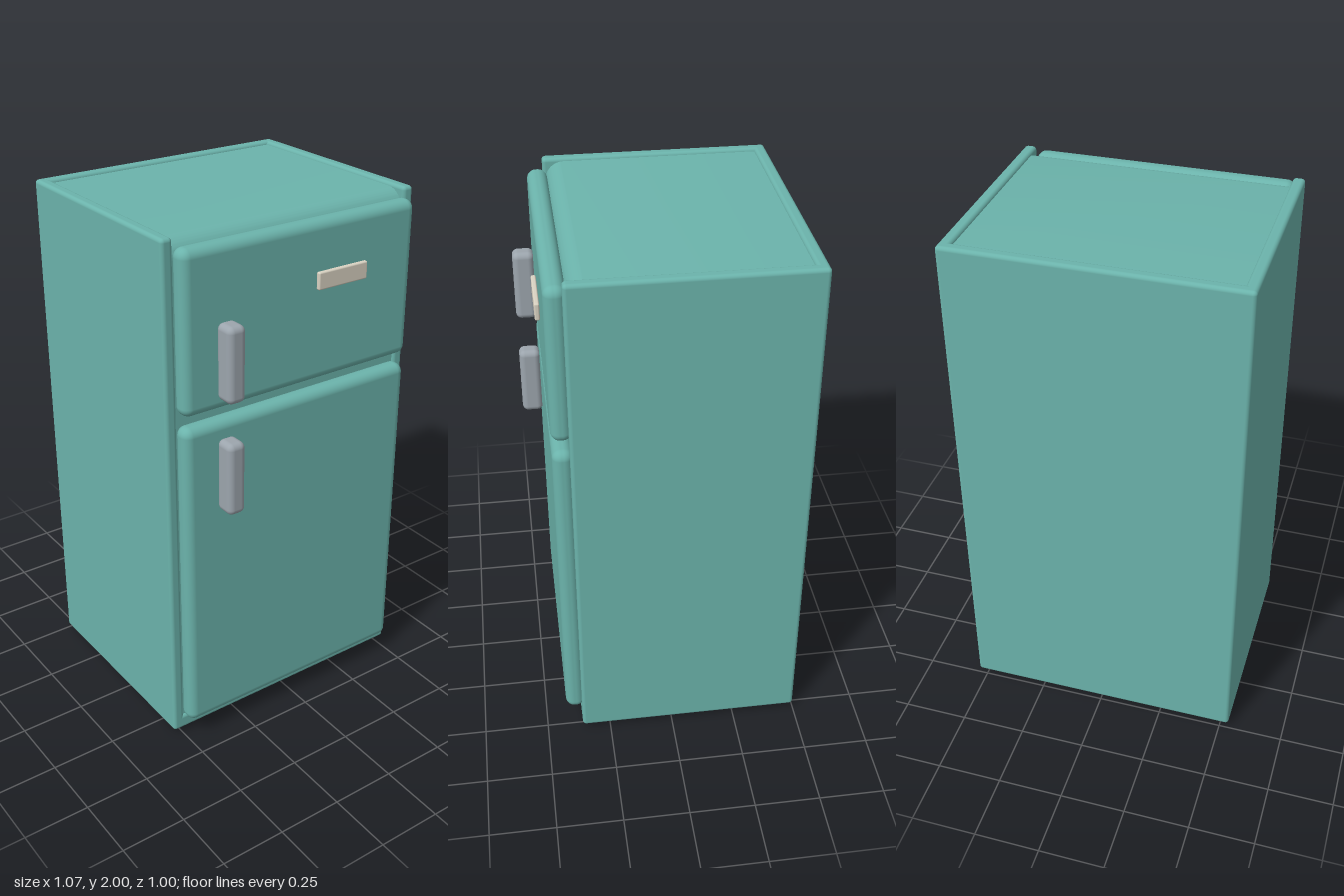
import * as THREE from 'three';
import { RoundedBoxGeometry } from 'three/addons/geometries/RoundedBoxGeometry.js';
import { toCreasedNormals } from 'three/addons/utils/BufferGeometryUtils.js';

const material = (color) => new THREE.MeshStandardMaterial({ color });

export function createModel() {
  const model = new THREE.Group();
  const teal = material(0x6bb3ab);
  const steel = material(0x9ca5ad);
  const cream = material(0xd9d2c2);
  const rubber = material(0x2b2b2e);

  const add = (name, geometry, mat, parent = model) => {
    const mesh = new THREE.Mesh(geometry, mat);
    mesh.name = name;
    parent.add(mesh);
    return mesh;
  };

  // Rounded box given by its extents on each axis
  const block = (name, [x0, x1], [y0, y1], [z0, z1], radius, mat, parent) => {
    const geometry = new RoundedBoxGeometry(x1 - x0, y1 - y0, z1 - z0, 5, radius);
    geometry.translate((x0 + x1) / 2, (y0 + y1) / 2, (z0 + z1) / 2);
    return add(name, geometry, mat, parent);
  };

  // Outer shell: two sides, back and floor with softened edges
  const shell = new THREE.Group();
  shell.name = 'cabinetShell';
  model.add(shell);
  const W = 0.535, wall = 0.045, low = 0.018, back = -0.5, front = 0.36, r = 0.014;
  block('leftSide', [W - wall, W], [low, 2], [back, front], r, teal, shell);
  block('rightSide', [-W, -W + wall], [low, 2], [back, front], r, teal, shell);
  block('backPanel', [-W, W], [low, 2], [back, back + wall], r, teal, shell);
  block('floorPanel', [-W, W], [low, low + 0.06], [back, front], r, teal, shell);

  // Inner body: sunken top that rolls down at the front
  const top = 1.988, face = 0.35, roll = 0.07, halfWidth = 0.5;
  const profile = new THREE.Shape();
  profile.moveTo(-0.47, 0.04);
  profile.lineTo(face, 0.04);
  profile.lineTo(face, top - roll);
  profile.absarc(face - roll, top - roll, roll, 0, Math.PI / 2, false);
  profile.lineTo(-0.47, top);
  profile.closePath();
  const body = new THREE.ExtrudeGeometry(profile, {
    depth: halfWidth * 2, bevelEnabled: false, curveSegments: 12,
  });
  body.translate(0, 0, -halfWidth);
  body.rotateY(-Math.PI / 2);
  add('innerBody', toCreasedNormals(body, 0.6), teal);

  // Doors, each with its own handle
  const doors = [
    { name: 'freezer', y: [1.378, 1.97], handle: [1.425, 1.705] },
    { name: 'fridge', y: [0.08, 1.335], handle: [0.995, 1.275] },
  ];
  for (const { name, y, handle } of doors) {
    const door = new THREE.Group();
    door.name = name + 'Door';
    model.add(door);
    block(name + 'DoorPanel', [-0.497, 0.497], y, [0.345, 0.421], 0.034, teal, door);
    block(name + 'Handle', [-0.37, -0.298], handle, [0.418, 0.5], 0.023, steel, door);
  }

  // Blank trim plate on the upper door
  block('trimPlate', [0.046, 0.262], [1.73, 1.795], [0.425, 0.443], 0.006, cream);

  // Four round feet
  for (const x of [-0.42, 0.42]) {
    for (const z of [-0.38, 0.245]) {
      const foot = add('foot', new THREE.CylinderGeometry(0.055, 0.05, 0.03, 24), rubber);
      foot.position.set(x, 0.015, z);
    }
  }

  return model;
}
